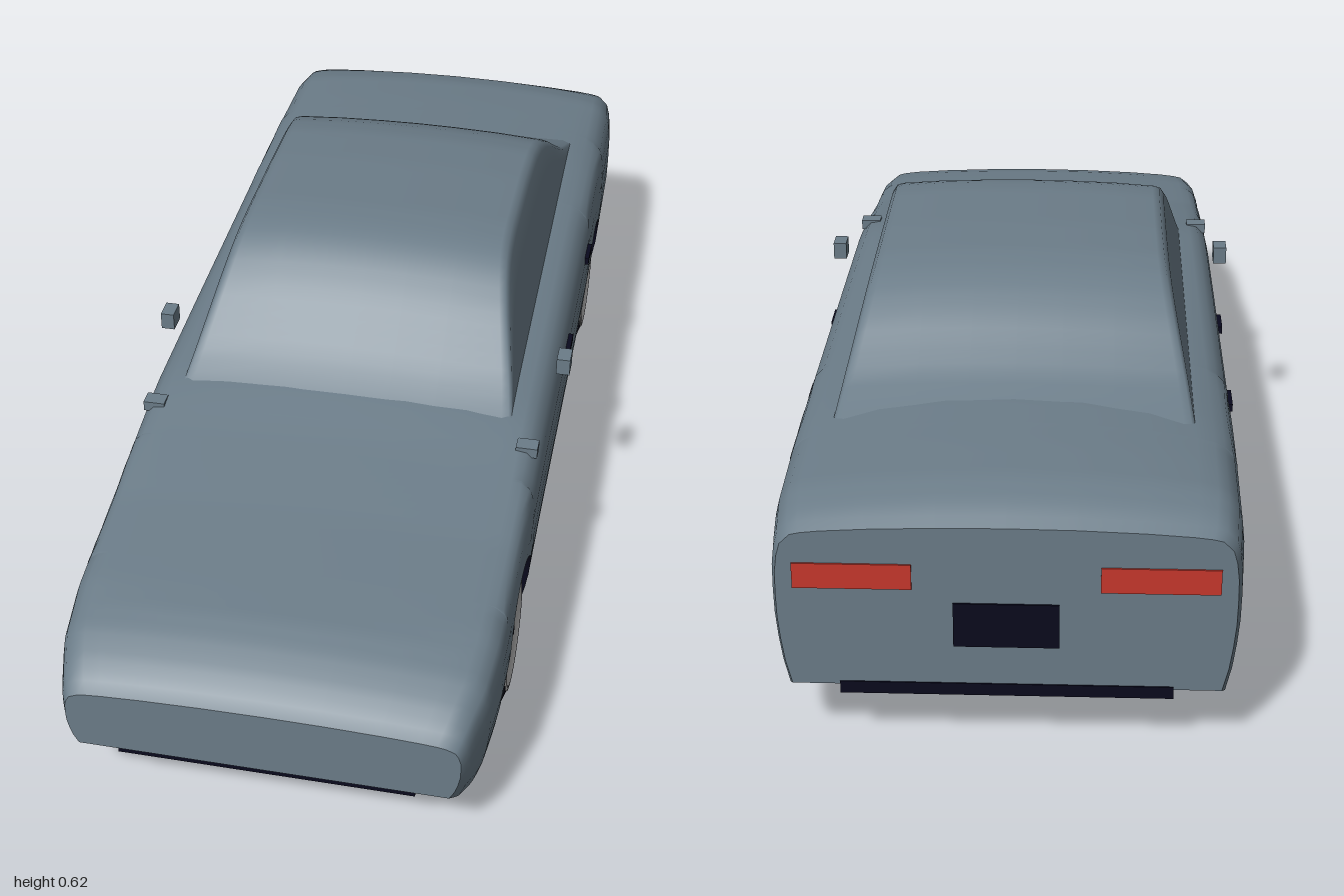
import * as THREE from 'three';

const mat = (name, color, side = THREE.FrontSide) => {
  const m = new THREE.MeshStandardMaterial({ color, side });
  m.name = name;
  return m;
};
const paint = mat('body paint', 0x6b7c88, THREE.DoubleSide);
const black = mat('blue black', 0x09091d, THREE.DoubleSide);
const silver = mat('wheel silver', 0xb4b4b4);
const red = mat('lamp red', 0xc8372d);

const WHEEL_Z = [0.595, -0.585], WHEEL_R = 0.137, ARCH_R = 0.146;

// Piecewise linear curve through [position, value] pairs sorted from front to back
const curve = (pts) => (z) => {
  if (z >= pts[0][0]) return pts[0][1];
  for (let i = 1; i < pts.length; i++) {
    const [z0, v0] = pts[i - 1], [z1, v1] = pts[i];
    if (z >= z1) return v0 + (v1 - v0) * (z0 - z) / (z0 - z1);
  }
  return pts[pts.length - 1][1];
};

// Body outlines along its length
const width = curve([[1, 0.34], [0.98, 0.35], [0.9, 0.372], [0.8, 0.381], [0.5, 0.385], [-0.7, 0.385], [-0.9, 0.382], [-0.98, 0.375], [-1, 0.368]]);
const deck = curve([[1, 0.262], [0.985, 0.282], [0.95, 0.304], [0.9, 0.325], [0.85, 0.338], [0.75, 0.35], [0.6, 0.366], [0.4, 0.396],
  [0.3, 0.42], [0.2, 0.43], [-0.5, 0.46], [-0.65, 0.466], [-0.8, 0.459], [-0.9, 0.452], [-0.96, 0.435], [-1, 0.412]]);
const shoulder = curve([[1, 0.25], [0.985, 0.268], [0.95, 0.288], [0.9, 0.307], [0.8, 0.328], [0.6, 0.35], [0.4, 0.385],
  [0.3, 0.4], [0, 0.408], [-0.6, 0.42], [-0.9, 0.42], [-0.96, 0.41], [-1, 0.395]]);
const sill = curve([[1, 0.135], [0.97, 0.112], [0.92, 0.09], [0.85, 0.08], [-0.78, 0.08], [-0.9, 0.086], [-0.97, 0.1], [-1, 0.118]]);
const bulge = curve([[1, 0.925], [0.97, 0.96], [0.9, 0.983], [0.75, 0.997], [0.5, 1], [0.2, 0.98], [0, 0.945]]);

const lowerEdge = (z) => {
  let y = sill(z);
  for (const wz of WHEEL_Z) {
    const d = Math.abs(z - wz);
    if (d <= ARCH_R) y = Math.max(y, WHEEL_R + Math.sqrt(ARCH_R ** 2 - d * d));
  }
  return y;
};

// Half section from the sill to the centre line, then its mirror image
const mirrorRing = (half) => [...half, ...half.slice(0, -1).reverse().map(([x, y]) => [-x, y])];

function bodyRing(z) {
  const b = lowerEdge(z), s = shoulder(z), t = deck(z), w = width(z), base = sill(z);
  const half = [0, 0.15, 0.3, 0.45, 0.6, 0.75, 0.86, 0.94, 1].map((f) => {
    const y = b + (s - b) * f;
    return [w * bulge((y - base) / (s - base)), y];
  });
  for (const [fx, fy] of [[0.88, 0.22], [0.8, 0.42], [0.6, 0.7], [0.3, 0.93], [0, 1]]) half.push([w * fx, s + (t - s) * fy]);
  return mirrorRing(half);
}

const roof = curve([[0.33, 0.404], [0.29, 0.427], [0.25, 0.455], [0.2, 0.5], [0.15, 0.546], [0.1, 0.583], [0.06, 0.604], [0.02, 0.615],
  [-0.04, 0.621], [-0.22, 0.621], [-0.34, 0.615], [-0.4, 0.604], [-0.45, 0.585], [-0.5, 0.556], [-0.55, 0.52], [-0.6, 0.488], [-0.65, 0.467], [-0.7, 0.448]]);

function cabinRing(z) {
  const t = roof(z), e = t - 0.012, low = 0.385;
  const side = (y) => 0.312 - (y - 0.42) * 0.25;
  const half = [0, 0.35, 0.7, 0.92].map((f) => {
    const y = low + (e - low) * f;
    return [side(y), y];
  });
  half.push([side(e) - 0.005, e - 0.002], [side(e) - 0.018, e + 0.002], [0.17, t - 0.004], [0.08, t - 0.001], [0, t]);
  return mirrorRing(half);
}

// Skin over the rings at each station, running front to back
function loft(stations, ringAt) {
  const pos = [], idx = [];
  let n = 0;
  stations.forEach((z, i) => {
    const ring = ringAt(z);
    n = ring.length;
    ring.forEach(([x, y]) => pos.push(x, y, z));
    if (i === 0) return;
    for (let j = 0; j < n - 1; j++) {
      const a = (i - 1) * n + j, d = i * n + j;
      idx.push(a, d, a + 1, a + 1, d, d + 1);
    }
  });
  const g = new THREE.BufferGeometry();
  g.setAttribute('position', new THREE.Float32BufferAttribute(pos, 3));
  g.setIndex(idx);
  g.computeVertexNormals();
  return g;
}

const steps = (from, to, n) => Array.from({ length: n + 1 }, (_, i) => from + (to - from) * i / n);
const capShape = (z) => new THREE.ShapeGeometry(new THREE.Shape(bodyRing(z).map(([x, y]) => new THREE.Vector2(x, y))));

function buildWheel() {
  const wheel = new THREE.Group();
  const add = (name, geo, m) => {
    const mesh = new THREE.Mesh(geo, m);
    mesh.name = name;
    wheel.add(mesh);
    return mesh;
  };
  // Profiles are [radius, distance outwards]
  const lathe = (pts) => new THREE.LatheGeometry(pts.map(([r, h]) => new THREE.Vector2(r, h)), 40).rotateZ(-Math.PI / 2);
  add('tyre', lathe([[0, -0.044], [0.1, -0.044], [0.1, -0.044], [0.137, -0.034], [0.137, -0.034], [0.137, 0.026], [0.137, 0.026], [0.095, 0.041], [0.095, 0.025]]), black);
  add('rim', lathe([[0.103, 0.022], [0.103, 0.04], [0.096, 0.041], [0.088, 0.035], [0.03, 0.03], [0.02, 0.035], [0, 0.036]]), silver);
  for (let i = 0; i < 5; i++) {
    const a = i * Math.PI * 2 / 5 + 0.3;
    const slot = add('rimSlot', new THREE.BoxGeometry(0.006, 0.036, 0.017), black);
    slot.position.set(0.0315, Math.cos(a) * 0.046, Math.sin(a) * 0.046);
    slot.rotation.x = a;
  }
  return wheel;
}

export function createModel() {
  const car = new THREE.Group();
  car.name = 'car';
  const add = (name, geo, m, x = 0, y = 0, z = 0) => {
    const mesh = new THREE.Mesh(geo, m);
    mesh.name = name;
    mesh.position.set(x, y, z);
    car.add(mesh);
    return mesh;
  };
  const box = (name, m, w, h, d, x, y, z) => add(name, new THREE.BoxGeometry(w, h, d), m, x, y, z);

  // Body shell, with close stations around the wheel arches
  const stations = [...steps(1, 0.76, 16), ...steps(0.42, -0.42, 18), ...steps(-0.75, -1, 12)];
  for (const wz of WHEEL_Z) {
    stations.push(wz + ARCH_R + 0.0005, wz - ARCH_R - 0.0005);
    for (let i = 0; i <= 24; i++) stations.push(wz + ARCH_R * Math.cos(i * Math.PI / 24));
  }
  stations.sort((a, b) => b - a);
  add('body', loft(stations, bodyRing), paint);
  add('nosePanel', capShape(1), paint, 0, 0, 1);
  add('tailPanel', capShape(-1).rotateY(Math.PI), paint, 0, 0, -1);
  add('cabin', loft(steps(0.33, -0.7, 52), cabinRing), paint);

  // Underside and wheel housings
  add('underside', loft(stations, (z) => {
    const x = bodyRing(z)[0][0];
    return [[-x, lowerEdge(z)], [x, lowerEdge(z)]];
  }), black);
  box('floor', black, 0.56, 0.2, 1.54, 0, 0.182, 0);

  // Parts repeated on both sides
  for (const s of [1, -1]) {
    for (const wz of WHEEL_Z) {
      const wheel = buildWheel();
      wheel.name = wz > 0 ? 'frontWheel' : 'rearWheel';
      wheel.position.set(s * 0.333, WHEEL_R, wz);
      if (s < 0) wheel.rotation.y = Math.PI;
      car.add(wheel);
    }
    for (const z of [-0.045, -0.39]) box('doorHandle', black, 0.012, 0.015, 0.06, s * 0.385, 0.338, z);
    box('mirror', paint, 0.026, 0.034, 0.04, s * 0.393, 0.423, 0.13);
    box('fenderCorner', paint, 0.04, 0.02, 0.03, s * 0.355, 0.388, 0.365);
    box('tailLamp', red, 0.19, 0.045, 0.008, s * 0.245, 0.322, -0.999);
  }

  // Number plate and bumper strips
  box('numberPlate', black, 0.17, 0.08, 0.008, 0, 0.235, -0.999);
  box('rearBumperStrip', black, 0.54, 0.022, 0.012, 0, 0.113, -0.996);
  box('frontBumperStrip', black, 0.52, 0.022, 0.012, 0, 0.113, 0.972);
  return car;
}
